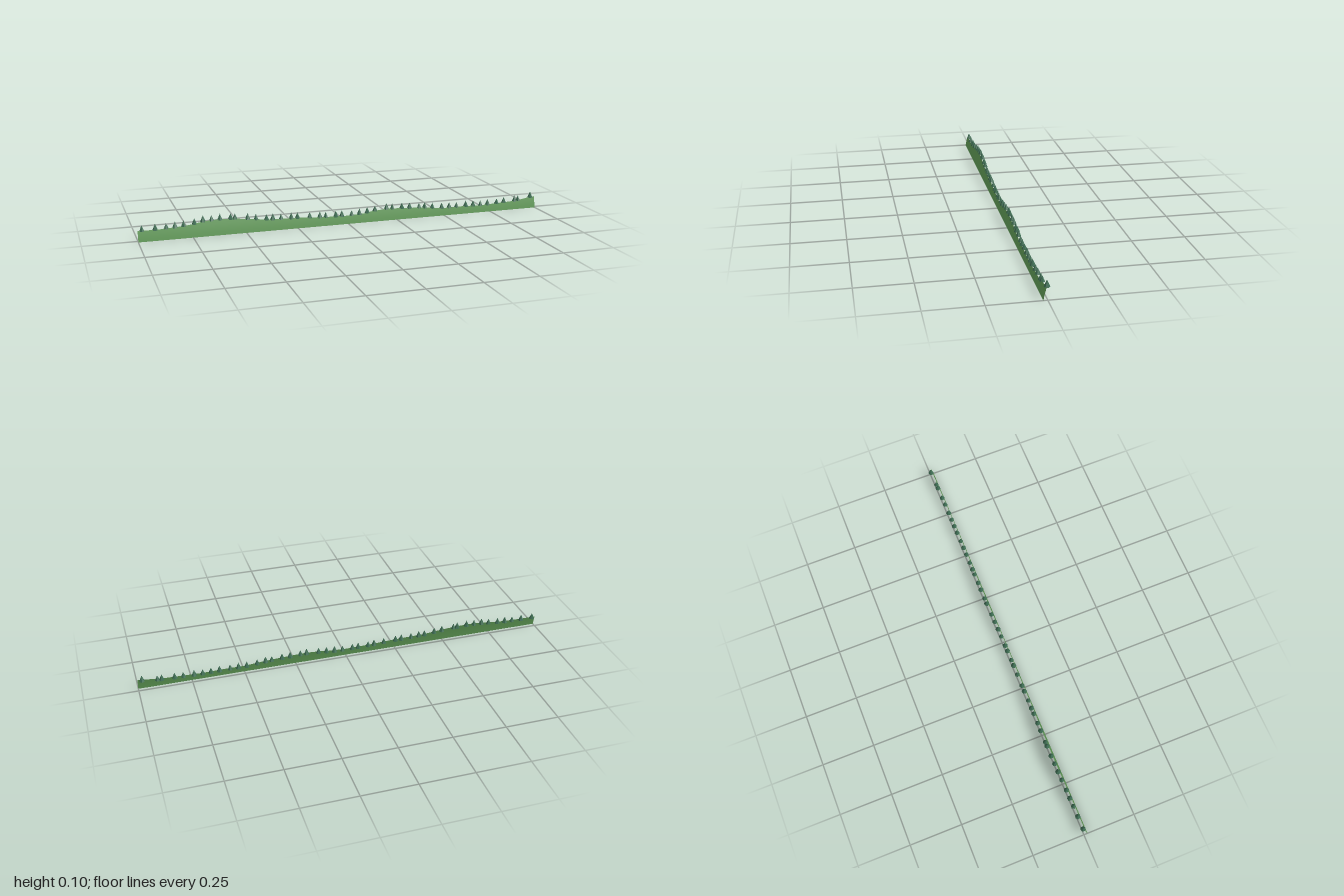
import * as THREE from 'three';

// Ridge line of the hill: x, height
const ridge = [
  [-1, 0.05], [-0.9, 0.05], [-0.8, 0.055], [-0.75, 0.06], [-0.7, 0.069], [-0.63, 0.072], [-0.55, 0.069],
  [-0.46, 0.06], [-0.4, 0.053], [-0.3, 0.05], [-0.2, 0.047], [-0.13, 0.042], [0, 0.039], [0.08, 0.043],
  [0.12, 0.05], [0.2, 0.056], [0.3, 0.052], [0.4, 0.046], [0.5, 0.036], [0.6, 0.037], [0.7, 0.034],
  [0.8, 0.038], [0.9, 0.042], [0.96, 0.052], [1, 0.056],
];

// Tree positions along the ridge, in hundredths
const treeX = [
  -98, -92, -87, -83, -79, -74, -70, -66, -62, -57, -55, -49, -45, -40, -37, -33, -28, -25, -19, -14, -11,
  -6, -3, 2, 6, 10, 14, 20, 23, 28, 32, 37, 40, 44, 49, 53, 57, 62, 66, 70, 74, 79, 83, 89, 91, 98,
];

function heightAt(x) {
  let i = 1;
  while (i < ridge.length - 1 && ridge[i][0] < x) i++;
  const [x0, y0] = ridge[i - 1], [x1, y1] = ridge[i];
  return y0 + (y1 - y0) * (x - x0) / (x1 - x0);
}

// The hillside leans back as it rises
const depthAt = (y) => 0.018 - 0.18 * y - 0.9 * y * y;

export function createModel() {
  const group = new THREE.Group();
  const grass = new THREE.MeshStandardMaterial({ color: 0x5f9a55, side: THREE.DoubleSide });
  const foliage = new THREE.MeshStandardMaterial({ color: 0x3f6f55, flatShading: true });

  // Hillside: a thin sheet bent to the ridge line
  const sheet = new THREE.PlaneGeometry(2, 1, 100, 4);
  const pos = sheet.attributes.position;
  for (let i = 0; i < pos.count; i++) {
    const x = pos.getX(i);
    const y = (pos.getY(i) + 0.5) * heightAt(x);
    pos.setXYZ(i, x, y, depthAt(y));
  }
  sheet.computeVertexNormals();
  const hill = new THREE.Mesh(sheet, grass);
  hill.name = 'hillside';
  group.add(hill);

  // Row of small conifers just behind the ridge
  const trees = new THREE.Group();
  trees.name = 'treeRow';
  const cone = new THREE.ConeGeometry(0.0135, 0.031, 6).translate(0, 0.0155, 0);
  treeX.forEach((hx, i) => {
    const x = hx / 100, y = heightAt(x);
    const tree = new THREE.Mesh(cone, foliage);
    tree.name = 'tree';
    tree.position.set(x, y - 0.004, depthAt(y) - 0.006);
    tree.rotation.y = i * 1.3;
    tree.scale.setScalar(0.94 + 0.06 * Math.sin(i * 2.4));
    trees.add(tree);
  });
  group.add(trees);
  return group;
}
